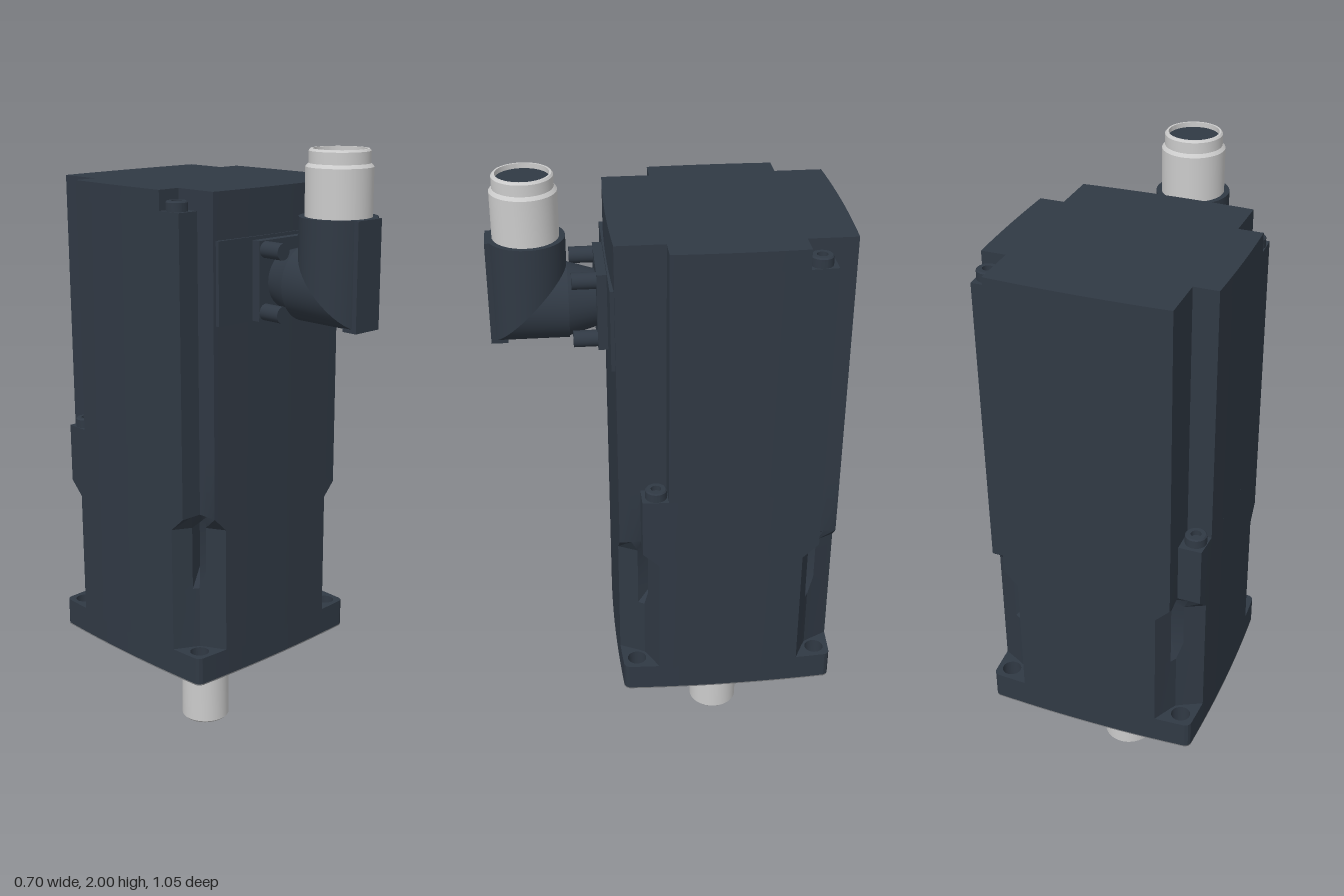
import * as THREE from 'three';
import { toCreasedNormals } from 'three/addons/utils/BufferGeometryUtils.js';

const dark = new THREE.MeshStandardMaterial({ color: 0x303944 });
const steel = new THREE.MeshStandardMaterial({ color: 0xcccccc });
const castGrey = new THREE.MeshStandardMaterial({ color: 0x77797c });
const CZ = -0.175; // z of the motor axis

// Half width of the gently bulged square at distance t from the middle of a side
const bulge = (t) => 0.349 - 0.1 * t * t;

// Corner profiles in one quadrant, from the x side to the z side
const CORNER = {
  full: [[0, 0.322], [0.338, 0.324], [0.333, 0.333], [0.324, 0.338], [0.322, 0]],
  chamfer: [[0, 0.225], [0.285, 0.255], [0.266, 0.266], [0.255, 0.285], [0.225, 0]],
  pocket: [[0, 0.225], [0.285, 0.255], [0.235, 0.235], [0.255, 0.285], [0.225, 0]],
  shallow: [[0, 0.275], [0.305, 0.275], [0.27, 0.275], [0.27, 0.305], [0.27, 0]],
  deep: [[0, 0.195], [0.305, 0.195], [0.27, 0.195], [0.27, 0.27], [0.27, 0]],
};

// Closed outline in (x, -z); cornerA is at +x+z and -x-z, cornerB at the other two
function outline(cornerA, cornerB = cornerA) {
  const pts = [], corners = [];
  for (const [sx, sy] of [[1, 1], [-1, 1], [-1, -1], [1, -1]]) {
    const list = CORNER[sx * sy < 0 ? cornerA : cornerB].map(([x, y]) =>
      new THREE.Vector2(sx * (x || bulge(y)), sy * (y || bulge(x))));
    corners.push(sx * sy > 0 ? list : list.reverse());
  }
  corners.forEach((c, q) => {
    pts.push(...c);
    const a = c[4], b = corners[(q + 1) % 4][0];
    for (let i = 1; i < 12; i++) {
      const p = a.clone().lerp(b, i / 12);
      if (q % 2 === 0) p.y = Math.sign(a.y) * bulge(p.x);
      else p.x = Math.sign(a.x) * bulge(p.y);
      pts.push(p);
    }
  });
  return pts;
}

// Skin through stacked outlines of equal point count
function loft(sections) {
  const pos = [];
  for (let s = 0; s + 1 < sections.length; s++) {
    const [y0, lo] = sections[s], [y1, hi] = sections[s + 1];
    for (let i = 0; i < lo.length; i++) {
      const j = (i + 1) % lo.length;
      const a = [lo[i].x, y0, -lo[i].y], b = [lo[j].x, y0, -lo[j].y];
      const c = [hi[j].x, y1, -hi[j].y], d = [hi[i].x, y1, -hi[i].y];
      pos.push(...a, ...b, ...c, ...a, ...c, ...d);
    }
  }
  const g = new THREE.BufferGeometry();
  g.setAttribute('position', new THREE.Float32BufferAttribute(pos, 3));
  g.computeVertexNormals();
  return toCreasedNormals(g, 0.4);
}

const lathe = (pts, seg = 48) =>
  toCreasedNormals(new THREE.LatheGeometry(pts.map(([x, y]) => new THREE.Vector2(x, y)), seg), 0.5);

const slab = (shape, y0, y1) =>
  new THREE.ExtrudeGeometry(shape, { depth: y1 - y0, bevelEnabled: false, curveSegments: 20 })
    .rotateX(-Math.PI / 2).translate(0, y0, 0);

function add(parent, name, geometry, material = dark, x = 0, y = 0, z = 0) {
  const mesh = new THREE.Mesh(geometry, material);
  mesh.name = name;
  mesh.position.set(x, y, z);
  parent.add(mesh);
  return mesh;
}

function buildMotor() {
  const motor = new THREE.Group();
  motor.name = 'motor';
  motor.position.z = CZ;

  // Mounting flange with four through holes and a bare machined underside
  const plate = new THREE.Shape(outline('full'));
  for (const sx of [1, -1]) for (const sy of [1, -1]) {
    plate.holes.push(new THREE.Path().absarc(sx * 0.294, sy * 0.294, 0.03, 0, Math.PI * 2, true));
  }
  add(motor, 'mountingFlange', slab(plate, 0.352, 0.44));
  add(motor, 'flangeFace', slab(plate, 0.348, 0.352), castGrey);

  // Housing: relieved lower corners, then notched corners with screw bosses
  const low = outline('chamfer'), pocket = outline('pocket'), strip = outline('shallow');
  const half = outline('deep', 'shallow'), top = outline('deep');
  add(motor, 'housing', loft([
    [0.43, low], [0.64, low], [0.7, pocket], [0.845, pocket], [0.89, strip],
    [1.08, strip], [1.08, half], [1.82, half], [1.82, top], [1.88, top],
  ]));
  add(motor, 'topCover', new THREE.ShapeGeometry(new THREE.Shape(top)).rotateX(-Math.PI / 2), dark, 0, 1.88, 0);

  // Socket-head screws on the bosses
  const head = lathe([[0.033, 0], [0.033, 0.026], [0.029, 0.03], [0.016, 0.03], [0.016, 0.014], [0, 0.014]], 24);
  for (const sx of [1, -1]) for (const sz of [1, -1]) {
    add(motor, 'housingScrew', head, dark, sx * 0.309, sx * sz > 0 ? 1.08 : 1.82, sz * 0.231);
  }

  // Locating spigot with concentric grooves, and the shaft with a centre hole
  add(motor, 'spigot', lathe([
    [0.08, 0.343], [0.1, 0.343], [0.1, 0.332], [0.125, 0.332], [0.125, 0.342], [0.16, 0.342],
    [0.16, 0.33], [0.2, 0.33], [0.2, 0.342], [0.235, 0.342], [0.235, 0.325], [0.285, 0.325],
    [0.29, 0.33], [0.29, 0.35],
  ], 64), steel);
  add(motor, 'shaft', lathe([
    [0, 0.04], [0.024, 0.03], [0.024, 0.01], [0.032, 0], [0.074, 0], [0.082, 0.008], [0.082, 0.36],
  ]), steel);
  return motor;
}

function buildConnector() {
  const connector = new THREE.Group();
  connector.name = 'connector';
  const CY = 1.605, EZ = 0.405, R = 0.115;

  // Mounting plate on the housing, square base and its four screws
  add(connector, 'connectorPanel', new THREE.BoxGeometry(0.52, 0.25, 0.03), dark, 0, 1.615, 0.164);
  add(connector, 'connectorBase', new THREE.BoxGeometry(0.245, 0.24, 0.03), dark, 0, 1.61, 0.193);
  add(connector, 'connectorNeck',
    new THREE.CylinderGeometry(0.112, 0.085, 0.09, 32).rotateX(Math.PI / 2), dark, 0, CY, 0.25);
  const bolt = new THREE.CylinderGeometry(0.025, 0.025, 0.08, 20).rotateX(Math.PI / 2);
  for (const sx of [1, -1]) for (const y of [1.517, 1.703]) {
    add(connector, 'connectorScrew', bolt, dark, sx * 0.096, y, 0.24);
  }

  // Elbow: two equal tubes cut along a shared mitre plane
  const upright = new THREE.CylinderGeometry(R, R, 0.2, 40);
  const sideways = new THREE.CylinderGeometry(R, R, 0.12, 40).rotateX(Math.PI / 2);
  const up = upright.attributes.position, side = sideways.attributes.position;
  for (let i = 0; i < up.count; i++) {
    up.setY(i, up.getY(i) > 0 ? 1.81 : CY - up.getZ(i));
    up.setZ(i, up.getZ(i) + EZ);
  }
  for (let i = 0; i < side.count; i++) {
    side.setZ(i, side.getZ(i) > 0 ? EZ - side.getY(i) : 0.29);
    side.setY(i, side.getY(i) + CY);
  }
  for (const [name, g] of [['elbowUpright', upright], ['elbowSide', sideways]]) {
    add(connector, name, toCreasedNormals(g, 0.5));
  }
  add(connector, 'elbowRib', new THREE.BoxGeometry(0.1, 0.32, 0.05), dark, 0, 1.65, 0.499);

  // Metal plug collar with a dark insert
  add(connector, 'plugCollar', lathe([
    [0.098, 1.8], [0.098, 1.95], [0.094, 1.955], [0.089, 1.96], [0.089, 1.994], [0.084, 2],
    [0.078, 2], [0.078, 1.95],
  ]), steel, 0, 0, EZ);
  add(connector, 'plugInsert', new THREE.CylinderGeometry(0.079, 0.079, 0.02, 40), dark, 0, 1.975, EZ);
  return connector;
}

export function createModel() {
  const model = new THREE.Group();
  model.name = 'servoMotor';
  model.add(buildMotor(), buildConnector());
  return model;
}
